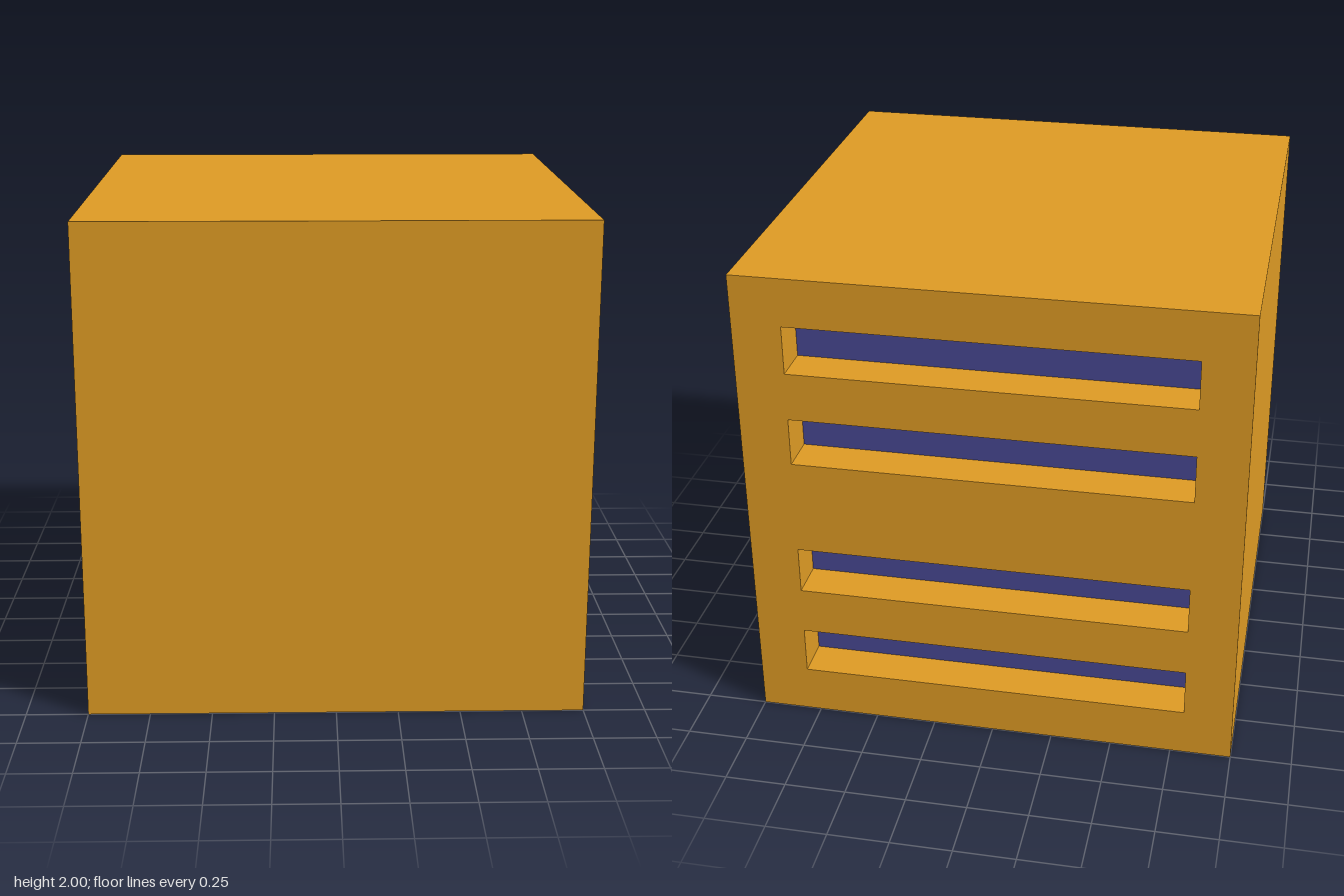
import * as THREE from 'three';

const DEPTH = 0.17;                      // slot depth
const SLOT_W = 1.6, SLOT_H = 0.2;
const SLOT_Y = [0.3, 0.7, 1.3, 1.7];     // slot centre heights

// Closed rectangle centred on (0, cy)
function rect(Type, w, h, cy) {
  const x = w / 2, y = h / 2;
  return new Type([[-x, cy - y], [x, cy - y], [x, cy + y], [-x, cy + y]]
    .map(([px, py]) => new THREE.Vector2(px, py)));
}

export function createModel() {
  const model = new THREE.Group();
  const orange = new THREE.MeshStandardMaterial({ color: 0xdd9a24 });
  const blue = new THREE.MeshStandardMaterial({ color: 0x474791 });

  const add = (name, geometry, material, y, z) => {
    const mesh = new THREE.Mesh(geometry, material);
    mesh.name = name;
    mesh.position.set(0, y, z);
    model.add(mesh);
    return mesh;
  };

  // Solid body, closed on the front, sides, top and bottom
  add('body', new THREE.BoxGeometry(2, 2, 2 - DEPTH), orange, 1, DEPTH / 2);

  // Back plate pierced by four horizontal slots
  const plate = rect(THREE.Shape, 2, 2, 1);
  plate.holes = SLOT_Y.map((y) => rect(THREE.Path, SLOT_W, SLOT_H, y));
  add('backPlate', new THREE.ExtrudeGeometry(plate, { depth: DEPTH, bevelEnabled: false }), orange, 0, -1);

  // Blue panels at the bottom of the slots, facing the back
  SLOT_Y.forEach((y, i) => {
    const panel = add(`slotPanel${i + 1}`, new THREE.PlaneGeometry(SLOT_W, SLOT_H), blue, y, -1 + DEPTH - 0.002);
    panel.rotation.y = Math.PI;
  });

  return model;
}
